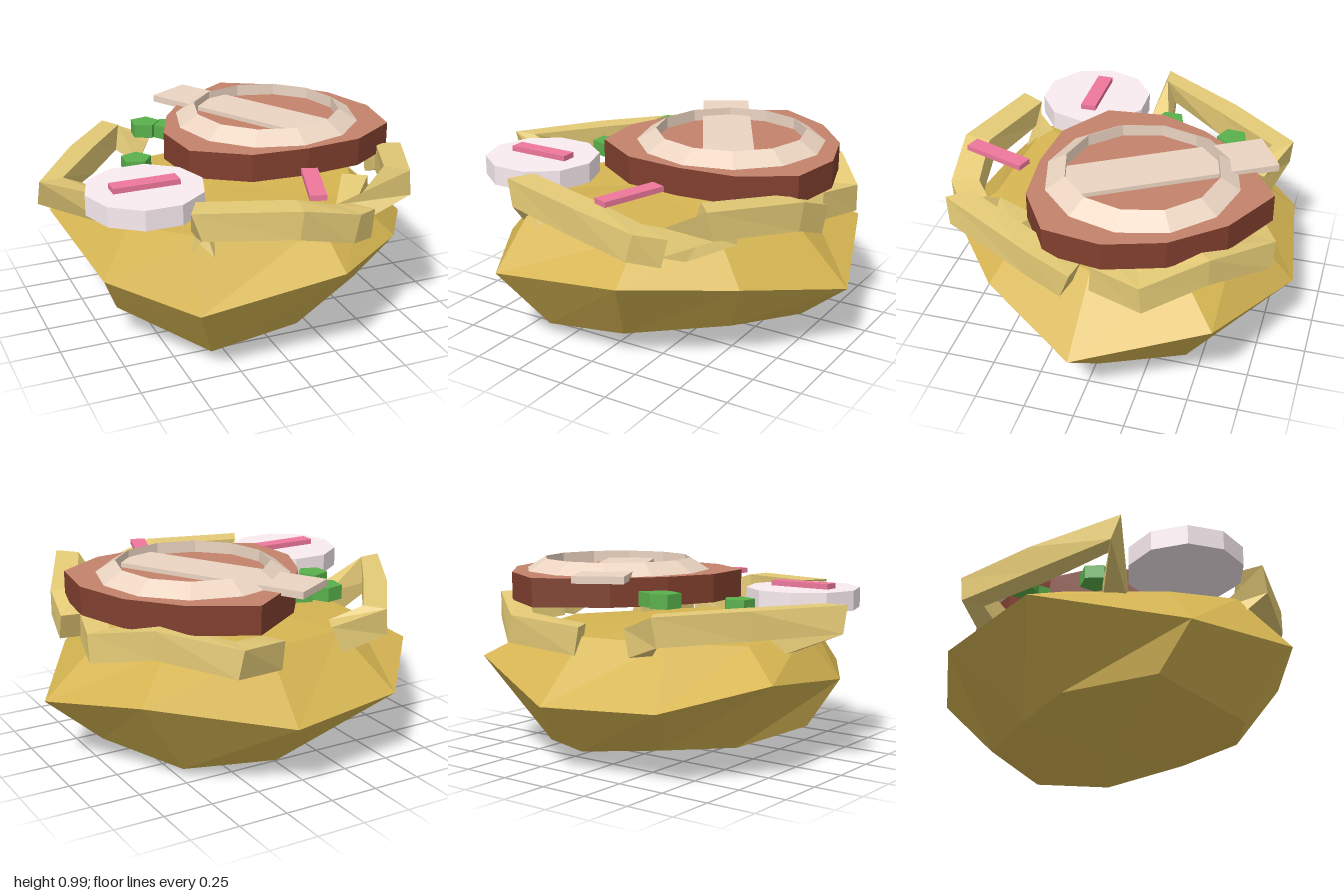
import * as THREE from 'three';

const mat = (color) => new THREE.MeshStandardMaterial({ color, flatShading: true });

// Skin a list of equal-length rings and close both ends with fans
function loft(rings, startCentre, endCentre) {
  const pos = [];
  const tri = (a, b, c) => [a, b, c].forEach((p) => pos.push(p.x, p.y, p.z));
  const mean = (r) => r.reduce((s, p) => s.add(p), new THREE.Vector3()).divideScalar(r.length);
  const n = rings[0].length, first = rings[0], last = rings[rings.length - 1];
  const c0 = startCentre || mean(first), c1 = endCentre || mean(last);
  for (let j = 0; j < n; j++) {
    const m = (j + 1) % n;
    for (let k = 0; k + 1 < rings.length; k++) {
      const a = rings[k], b = rings[k + 1];
      tri(a[j], b[j], a[m]);
      tri(a[m], b[j], b[m]);
    }
    tri(c0, first[j], first[m]);
    tri(c1, last[m], last[j]);
  }
  const geo = new THREE.BufferGeometry();
  geo.setAttribute('position', new THREE.Float32BufferAttribute(pos, 3));
  geo.computeVertexNormals();
  return geo;
}

const points = (list) => list.map((p) => new THREE.Vector3(...p));

// Square beam bent along a path of points
function beam(path, w, h) {
  const p = points(path), up = new THREE.Vector3(0, 1, 0);
  const rings = p.map((c, i) => {
    const t = p[Math.min(i + 1, p.length - 1)].clone().sub(p[Math.max(i - 1, 0)]).normalize();
    const s = t.clone().cross(up).normalize();
    const n = s.clone().cross(t);
    return [[1, 1], [-1, 1], [-1, -1], [1, -1]].map(([a, b]) =>
      c.clone().addScaledVector(s, a * w / 2).addScaledVector(n, b * h / 2));
  });
  return loft(rings);
}

export function createModel() {
  const group = new THREE.Group();
  const add = (name, geo, material, x = 0, y = 0, z = 0, ry = 0) => {
    const mesh = new THREE.Mesh(geo, material);
    mesh.name = name;
    mesh.position.set(x, y, z);
    mesh.rotation.y = ry;
    group.add(mesh);
  };

  const gold = mat(0xd6b552), straw = mat(0xe4ca76), brown = mat(0x803f2e), clay = mat(0xc4836c);
  const cream = mat(0xebd4c1), pale = mat(0xfaecf0), pink = mat(0xee789c), green = mat(0x5ab04c);

  // Lumpy faceted base
  const rings = [
    [[0.08, 0.08, -0.64], [0.48, 0.04, -0.43], [0.73, 0.11, -0.05], [0.55, 0.17, 0.36], [0.1, 0.12, 0.62],
      [-0.35, 0.06, 0.62], [-0.69, 0.16, 0.2], [-0.57, 0.12, -0.25], [-0.27, 0.1, -0.45]],
    [[0.12, 0.34, -0.89], [0.78, 0.48, -0.61], [1, 0.34, 0.02], [0.68, 0.45, 0.52], [0.23, 0.48, 0.87],
      [-0.49, 0.39, 0.85], [-0.79, 0.39, 0.35], [-0.86, 0.48, -0.4], [-0.5, 0.37, -0.8]],
    [[0.1, 0.64, -0.6], [0.55, 0.64, -0.4], [0.68, 0.64, 0], [0.52, 0.63, 0.42], [0.2, 0.65, 0.65],
      [-0.44, 0.68, 0.6], [-0.63, 0.62, 0.25], [-0.63, 0.62, -0.25], [-0.35, 0.64, -0.52]],
  ].map(points);
  add('base', loft(rings, new THREE.Vector3(-0.07, 0, -0.04), new THREE.Vector3(-0.1, 0.66, 0)), gold);

  // Bent strips lying around the rim, with ends hooked inward
  add('frontStrip', beam([[-0.38, 0.61, 0.6], [-0.43, 0.78, 0.68], [0, 0.77, 0.81],
    [0.27, 0.69, 0.78], [0.38, 0.66, 0.7]], 0.14, 0.14), straw);
  add('rightFrontStrip', beam([[0.53, 0.68, 0.36], [0.38, 0.64, 0.6], [0.59, 0.82, 0.67],
    [0.79, 0.76, 0.23], [0.82, 0.69, 0.05]], 0.13, 0.14), straw);
  add('leftBackStrip', beam([[-0.64, 0.61, 0], [-0.94, 0.75, 0], [-0.68, 0.74, -0.37],
    [-0.43, 0.73, -0.71], [-0.26, 0.65, -0.62]], 0.12, 0.14), straw);
  add('rightBackStrip', beam([[0.1, 0.63, -0.62], [0.37, 0.68, -0.75], [0.64, 0.75, -0.52],
    [0.83, 0.69, -0.28], [0.76, 0.71, -0.06]], 0.13, 0.14), straw);

  // Large uneven disc with lighter faces
  const outline = [[0.26, -0.78], [0.55, -0.62], [0.75, -0.38], [0.84, -0.1], [0.8, 0.19], [0.55, 0.35], [0.26, 0.38],
    [-0.03, 0.36], [-0.29, 0.19], [-0.32, -0.1], [-0.22, -0.34], [-0.05, -0.57]].map((p) => new THREE.Vector2(...p));
  const disc = new THREE.ExtrudeGeometry(new THREE.Shape(outline), { depth: 0.14, bevelEnabled: false });
  add('largeDisc', disc.rotateX(Math.PI / 2), [clay, brown], 0, 0.93, 0);

  // Bevelled ring on the disc
  const profile = [[0.38, 0.925], [0.485, 0.925], [0.38, 0.99], [0.38, 0.925]].map((p) => new THREE.Vector2(...p));
  add('bevelRing', new THREE.LatheGeometry(profile, 12), cream, 0.26, 0, -0.14);

  // Flat slat crossing the ring and overhanging the disc
  const slatAngle = Math.PI / 6;
  add('slat', new THREE.BoxGeometry(0.25, 0.035, 1.03), cream,
    0.24 - 0.13 * Math.sin(slatAngle), 0.935, -0.14 - 0.13 * Math.cos(slatAngle), slatAngle);

  // Small pale disc with a stick on it, and a loose stick
  add('paleDisc', new THREE.CylinderGeometry(0.29, 0.29, 0.1, 10), pale, -0.57, 0.795, 0.34, Math.PI / 10);
  add('discStick', new THREE.BoxGeometry(0.33, 0.03, 0.08), pink, -0.57, 0.857, 0.34);
  add('looseStick', new THREE.BoxGeometry(0.34, 0.027, 0.08), pink, 0.16, 0.857, 0.64, 1.24);

  // Five-sided green pieces
  [[-0.3, 0.835, -0.47, 0.2], [-0.19, 0.83, -0.41, 0.9], [-0.47, 0.785, -0.1, 0.3]].forEach(([x, y, z, r]) =>
    add('greenPiece', new THREE.CylinderGeometry(0.08, 0.08, 0.07, 5), green, x, y, z, r));

  return group;
}
